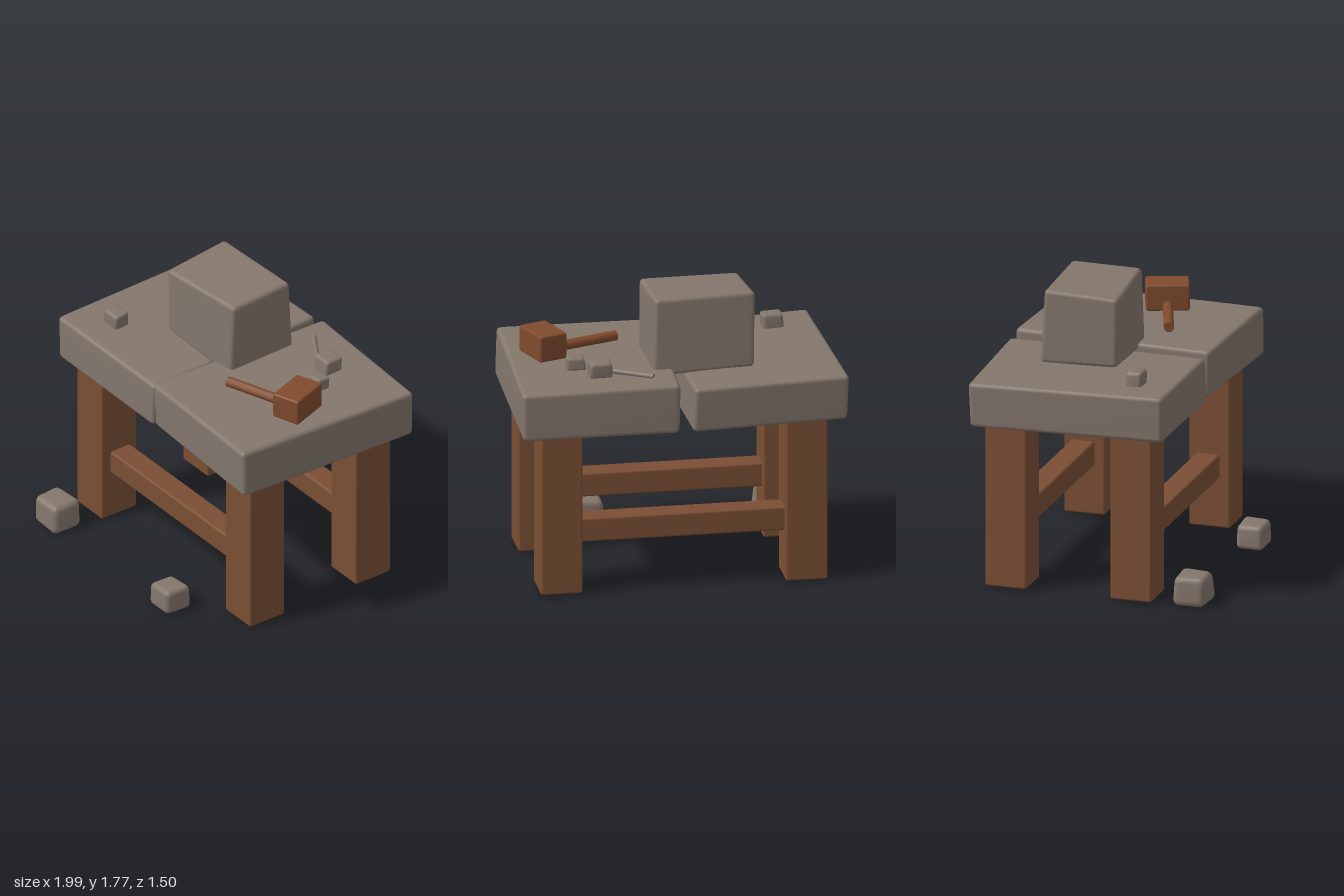
import * as THREE from 'three';
import { mergeVertices } from 'three/addons/utils/BufferGeometryUtils.js';
import { RoundedBoxGeometry } from 'three/addons/geometries/RoundedBoxGeometry.js';

const stone = new THREE.MeshStandardMaterial({ color: 0x84776c });
stone.name = 'stone';
const wood = new THREE.MeshStandardMaterial({ color: 0x7b4f34 });
wood.name = 'wood';
const hammerWood = new THREE.MeshStandardMaterial({ color: 0x804b2d });
hammerWood.name = 'hammerWood';

function seeded(seed) {
  return () => {
    seed = (seed * 16807) % 2147483647;
    return seed / 2147483647 - 0.5;
  };
}

// Rounded box with welded, smooth normals
function softBox(w, h, d, bevel) {
  const g = new RoundedBoxGeometry(w, h, d, 2, bevel);
  g.deleteAttribute('uv');
  g.deleteAttribute('normal');
  return mergeVertices(g, 1e-5);
}

// Rounded box bent to eight corners: bottom then top, each back-left, back-right, front-right, front-left in plan
function hewnBlock(corners, bevel) {
  const c = corners.map((p) => new THREE.Vector3(...p));
  const size = new THREE.Box3().setFromPoints(c).getSize(new THREE.Vector3());
  const g = softBox(size.x, size.y, size.z, bevel);
  const pos = g.attributes.position;
  const mix = (a, b, t) => a.clone().lerp(b, t);
  for (let i = 0; i < pos.count; i++) {
    const u = pos.getX(i) / size.x + 0.5;
    const v = pos.getY(i) / size.y + 0.5;
    const w = pos.getZ(i) / size.z + 0.5;
    const level = (k) => mix(mix(c[k], c[k + 1], u), mix(c[k + 3], c[k + 2], u), w);
    const p = mix(level(0), level(4), v);
    pos.setXYZ(i, p.x, p.y, p.z);
  }
  g.computeVertexNormals();
  return g;
}

// Small chipped rock: a tapered block with uneven corners
function rock(x0, x1, y0, y1, z0, z1, seed) {
  const rnd = seeded(seed);
  const w = x1 - x0, d = z1 - z0, h = y1 - y0;
  const corners = [];
  for (const top of [0, 1]) {
    for (const [u, v] of [[0, 0], [1, 0], [1, 1], [0, 1]]) {
      const inset = top ? 0.06 : 0.03;
      corners.push([
        x0 + w * (u + (u ? -inset : inset) + rnd() * 0.1),
        top ? y1 - h * 0.1 * (rnd() + 0.5) : y0 + h * 0.05 * (rnd() + 0.5),
        z0 + d * (v + (v ? -inset : inset) + rnd() * 0.1),
      ]);
    }
  }
  return hewnBlock(corners, Math.min(w, h, d) * 0.2);
}

export function createModel() {
  const model = new THREE.Group();
  model.name = 'stoneWorkbench';
  const add = (name, geometry, material, x = 0, y = 0, z = 0, parent = model) => {
    const mesh = new THREE.Mesh(geometry, material);
    mesh.name = name;
    mesh.position.set(x, y, z);
    parent.add(mesh);
    return mesh;
  };
  const beam = (w, h, d) => {
    const g = softBox(w, h, d, 0.014);
    g.computeVertexNormals();
    return g;
  };

  // Legs and the long rails joining them
  for (const [end, z] of [['front', 0.28], ['back', -0.51]]) {
    add(end + 'RightLeg', beam(0.255, 1.06, 0.26), wood, -0.75, 0.54, z);
    add(end + 'LeftLeg', beam(0.255, 1.06, 0.26), wood, 0.74, 0.54, z);
    add(end + 'Rail', beam(1.32, 0.15, 0.15), wood, -0.005, 0.395, z - 0.01);
  }

  // Two uneven table slabs with a narrow gap
  add('rightSlab', hewnBlock([
    [-0.99, 1.04, -0.70], [-0.04, 1.03, -0.75], [-0.02, 1.015, 0.48], [-0.94, 1.045, 0.5],
    [-1.0, 1.32, -0.71], [-0.05, 1.31, -0.76], [-0.015, 1.295, 0.47], [-0.95, 1.33, 0.5],
  ], 0.03), stone);
  add('leftSlab', hewnBlock([
    [0.04, 1.03, -0.75], [0.99, 1.02, -0.72], [0.95, 1.02, 0.52], [0.0, 1.035, 0.48],
    [0.035, 1.34, -0.755], [0.995, 1.32, -0.72], [0.94, 1.325, 0.52], [-0.01, 1.33, 0.49],
  ], 0.03), stone);

  // Uncut block on the table
  add('stoneBlock', hewnBlock([
    [-0.47, 1.31, -0.43], [0.15, 1.29, -0.45], [0.16, 1.28, 0.03], [-0.45, 1.32, 0.05],
    [-0.48, 1.78, -0.4], [0.14, 1.775, -0.43], [0.16, 1.765, 0.01], [-0.45, 1.75, 0.055],
  ], 0.03), stone);

  // Mallet lying on the left slab
  const mallet = new THREE.Group();
  mallet.name = 'mallet';
  mallet.position.set(0.75, 1.325, -0.03);
  mallet.rotation.y = 0.34;
  model.add(mallet);
  add('malletHead', beam(0.185, 0.165, 0.265), hammerWood, 0, 0.083, 0, mallet);
  const handle = add('malletHandle', new THREE.CylinderGeometry(0.031, 0.031, 0.46, 12), hammerWood, -0.27, 0.035, 0, mallet);
  handle.rotation.z = Math.PI / 2;

  // Chisel rod beside its chipped stone head
  const rod = add('chiselRod', new THREE.CylinderGeometry(0.017, 0.017, 0.29, 10), stone, 0.295, 1.345, -0.505);
  rod.rotation.set(0, -0.56, Math.PI / 2);
  add('chiselHead', rock(0.41, 0.55, 1.32, 1.425, -0.53, -0.39, 41), stone);

  // Loose rocks on the table and on the ground
  add('tableChip', rock(0.54, 0.66, 1.32, 1.405, -0.35, -0.25, 77), stone);
  add('tableRock', rock(-0.76, -0.62, 1.3, 1.415, 0.2, 0.31, 133), stone);
  add('rightGroundRock', rock(-0.88, -0.645, 0.0, 0.2, 0.535, 0.75, 911), stone);
  add('leftGroundRock', rock(0.27, 0.475, 0.0, 0.168, 0.545, 0.73, 577), stone);
  return model;
}
